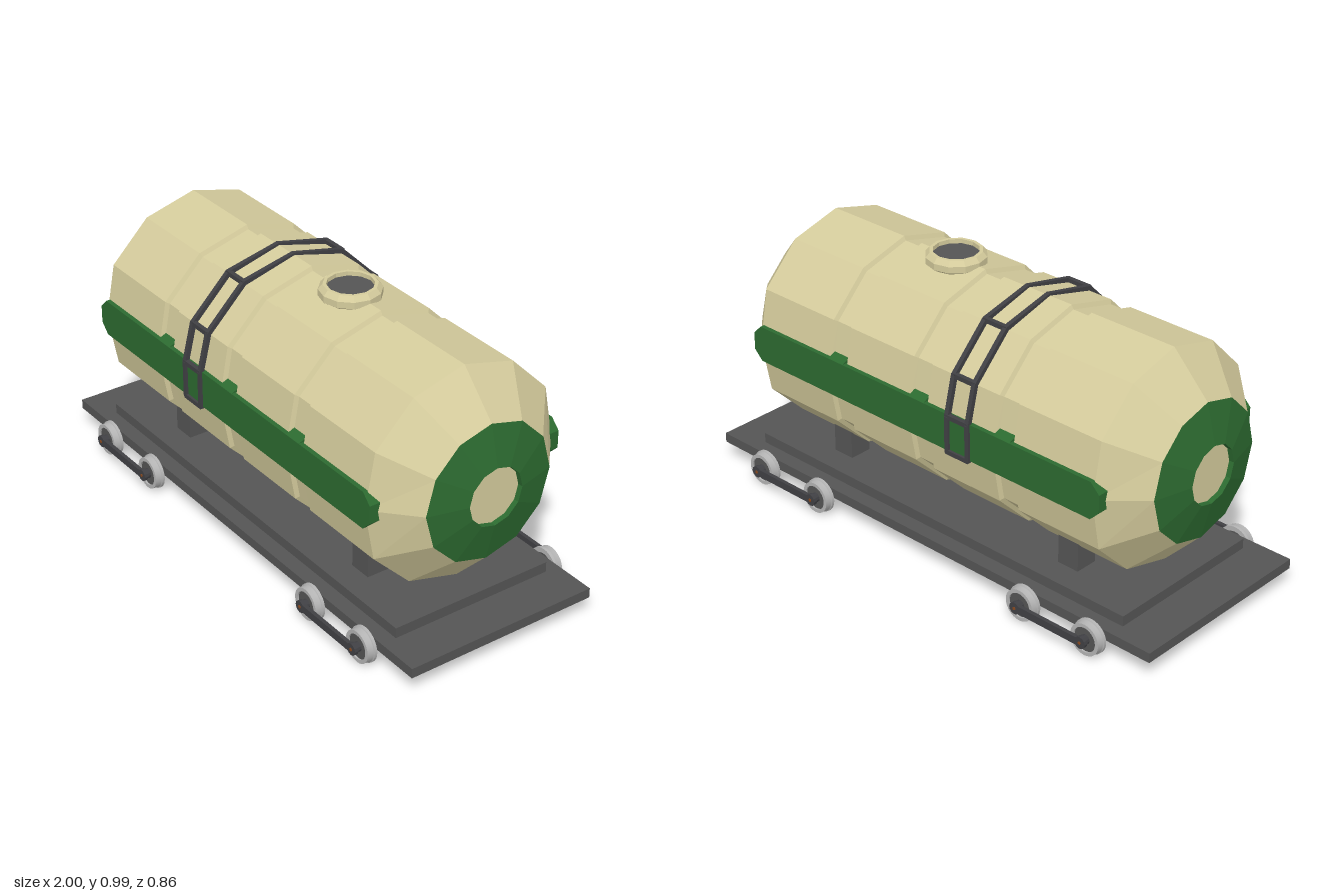
import * as THREE from 'three';

const mat = (color) => new THREE.MeshStandardMaterial({ color, flatShading: true });
const TAN = mat(0xd4cb9c), GREEN = mat(0x2c6a30), DARK = mat(0x555555);
const IRON = mat(0x404044), STEEL = mat(0xb4b4b4), RUST = mat(0x8a4a20);
const CY = 0.565; // height of the tank axis

function add(parent, name, geometry, material, x = 0, y = 0, z = 0) {
  const m = new THREE.Mesh(geometry, material);
  m.name = name;
  m.position.set(x, y, z);
  parent.add(m);
  return m;
}

const box = (w, h, d) => new THREE.BoxGeometry(w, h, d);

// Lathe around y from [radius, height] pairs
const lathe = (pts, sides) =>
  new THREE.LatheGeometry(pts.map(([r, h]) => new THREE.Vector2(r, h)), sides);

// Extrude a [u, v] outline, centred on its thickness
function extrude(pts, depth) {
  const shape = new THREE.Shape(pts.map(([u, v]) => new THREE.Vector2(u, v)));
  const g = new THREE.ExtrudeGeometry(shape, { depth, bevelEnabled: false });
  return g.translate(0, 0, -depth / 2);
}

function buildTank(root) {
  const tank = new THREE.Group();
  tank.name = 'tank';
  tank.position.y = CY;
  root.add(tank);

  // Twelve-sided shell with three sunken bands
  const R = 0.39, r = 0.375;
  const profile = [[0.245, -0.9], [R, -0.76]];
  for (const c of [-0.38, 0, 0.38]) {
    profile.push([R, c - 0.042], [r, c - 0.034], [r, c + 0.034], [R, c + 0.042]);
  }
  profile.push([R, 0.76], [0.245, 0.9]);
  const shell = lathe(profile, 12).rotateZ(-Math.PI / 2);
  // Press the side ridges in so that the stripes cover them
  const p = shell.attributes.position;
  for (let i = 0; i < p.count; i++) {
    const z = p.getZ(i);
    if (Math.abs(z) > 0.35) p.setZ(i, z - Math.sign(z) * 0.016);
  }
  add(tank, 'tankShell', shell, TAN);

  // Green end caps with a sunken centre disc
  for (const s of [1, -1]) {
    const end = new THREE.Group();
    end.name = 'tankEnd';
    end.rotation.y = s > 0 ? 0 : Math.PI;
    tank.add(end);
    add(end, 'endCap', lathe([[0.247, 0.9], [0.105, 0.936], [0.103, 0.915]], 12).rotateZ(-Math.PI / 2), GREEN);
    add(end, 'endDisc', new THREE.CircleGeometry(0.105, 12).rotateY(Math.PI / 2), TAN, 0.918);
  }

  // Side stripes with clipped corners, and fillers in the bands
  const X = 0.79, H = 0.067, c = 0.035;
  const outline = [[-X, -H + c], [-X + c, -H], [X - c, -H], [X, -H + c],
    [X, H - c], [X - c, H], [-X + c, H], [-X, H - c]];
  const wedge = [[-0.33, -0.087], [-0.33, 0.087], [-0.376, 0.067], [-0.376, -0.067]];
  for (const s of [1, -1]) {
    add(tank, 'sideStripe', extrude(outline, 0.05), GREEN, 0, 0, s * 0.353);
    for (const x of [-0.38, 0, 0.38]) {
      const filler = add(tank, 'stripeFiller', extrude(wedge, 0.07).rotateY(Math.PI / 2), GREEN, x);
      if (s < 0) filler.rotation.y = Math.PI;
    }
  }
}

function buildHatch(root) {
  const hatch = new THREE.Group();
  hatch.name = 'hatch';
  hatch.position.set(0.175, 0, 0);
  root.add(hatch);
  add(hatch, 'hatchRim', lathe([[0.08, 0.9], [0.085, 0.93], [0.107, 0.945], [0.107, 0.968],
    [0.092, 0.985], [0.08, 0.985], [0.08, 0.965]], 12), TAN);
  add(hatch, 'hatchLid', new THREE.CircleGeometry(0.081, 12).rotateX(-Math.PI / 2), DARK, 0, 0.97, 0);
}

function buildLadder(root) {
  const ladder = new THREE.Group();
  ladder.name = 'ladder';
  ladder.position.x = -0.192;
  root.add(ladder);
  // Front half of the path as [z, y], mirrored over the top
  const half = [[0.379, 0.497], [0.379, 0.628], [0.345, 0.765], [0.2, 0.91], [0, 0.955]];
  for (const s of [1, -1]) {
    for (let i = 0; i < half.length; i++) {
      const [z, y] = half[i];
      if (i < 4) add(ladder, 'rung', box(0.1, 0.016, 0.016), IRON, 0, y, s * z);
      if (i === 0) continue;
      const [z0, y0] = half[i - 1];
      const dy = y - y0, dz = s * (z - z0);
      for (const x of [-0.045, 0.045]) {
        const rail = add(ladder, 'rail', box(0.016, Math.hypot(dy, dz) + 0.008, 0.016), IRON,
          x, (y + y0) / 2, s * (z + z0) / 2);
        rail.rotation.x = Math.atan2(dz, dy);
      }
    }
  }
}

function buildFrame(root) {
  add(root, 'lowerDeck', box(2, 0.036, 0.73), DARK, 0, 0.087, 0);
  add(root, 'upperDeck', box(1.69, 0.038, 0.62), DARK, 0, 0.124, 0);
  for (const x of [-0.53, 0.53]) {
    for (const z of [-0.174, 0.174]) add(root, 'tankSupport', box(0.085, 0.12, 0.085), DARK, x, 0.194, z);
  }
}

// Pair of wheels joined by a link, facing +z
function buildWheelPair() {
  const pair = new THREE.Group();
  pair.name = 'wheelPair';
  const steel = STEEL.clone();
  steel.flatShading = false;
  const rim = lathe([[0.045, 0.006], [0.045, 0], [0.045, 0], [0.063, 0], [0.063, 0], [0.063, 0.01], [0.063, 0.01],
    [0.058, 0.012], [0.058, 0.034], [0.058, 0.034], [0.045, 0.034], [0.045, 0.034], [0.045, 0.006]], 28);
  rim.rotateX(Math.PI / 2);
  const disc = (r, d, n) => new THREE.CylinderGeometry(r, r, d, n).rotateX(Math.PI / 2);
  for (const x of [-0.14, 0.14]) {
    add(pair, 'wheelRim', rim, steel, x, 0, 0.369);
    add(pair, 'wheelDisc', disc(0.046, 0.026, 28), DARK, x, 0, 0.384);
    add(pair, 'axle', disc(0.018, 0.07, 12), IRON, x, 0, 0.385);
    add(pair, 'linkEnd', disc(0.022, 0.014, 12), IRON, x, 0, 0.419);
    add(pair, 'axlePin', disc(0.006, 0.004, 8), RUST, x, 0, 0.426);
  }
  add(pair, 'link', box(0.28, 0.028, 0.014), IRON, 0, 0, 0.419);
  return pair;
}

export function createModel() {
  const root = new THREE.Group();
  root.name = 'tankWagon';
  buildFrame(root);
  buildTank(root);
  buildHatch(root);
  buildLadder(root);
  for (const x of [-0.625, 0.625]) {
    for (const turn of [0, Math.PI]) {
      const pair = buildWheelPair();
      pair.position.set(x, 0.063, 0);
      pair.rotation.y = turn;
      root.add(pair);
    }
  }
  return root;
}
